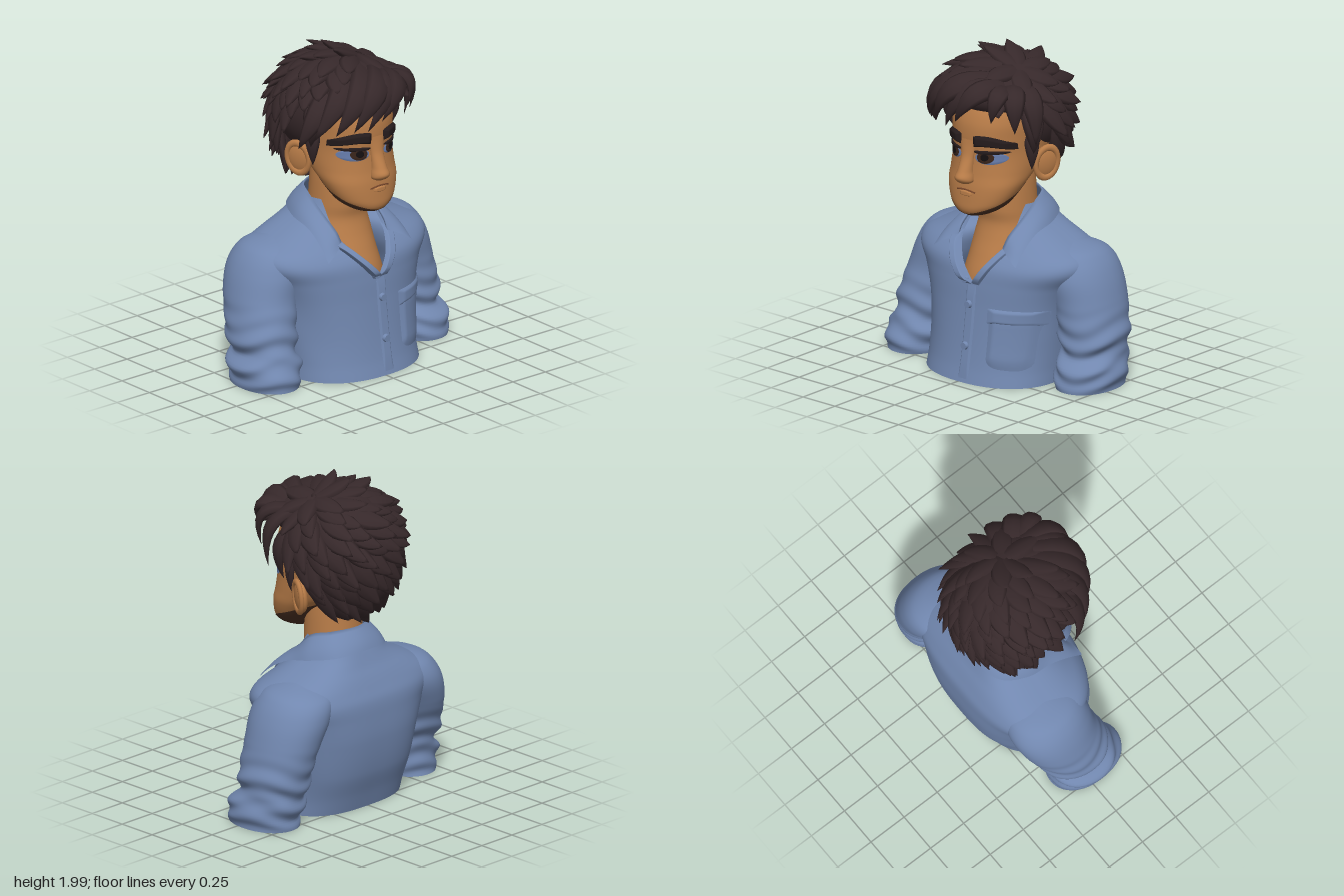
import * as THREE from 'three';
import { mergeVertices, mergeGeometries } from 'three/addons/utils/BufferGeometryUtils.js';

const { sin, cos, abs, sign, min, max, PI } = Math;
const V = (x, y, z) => new THREE.Vector3(x, y, z);
const clamp = (t) => min(1, max(0, t));
let seed = 7;
const rand = () => (seed = (seed * 16807) % 2147483647) / 2147483647;

const mat = (name, color) => {
  const m = new THREE.MeshStandardMaterial({ color, side: THREE.DoubleSide });
  m.name = name;
  return m;
};

// Surface from a rule f(u, v) -> [x, y, z], with smooth normals
function grid(f, nu, nv) {
  const pos = [], idx = [];
  for (let i = 0; i <= nu; i++) for (let j = 0; j <= nv; j++) pos.push(...f(i / nu, j / nv));
  for (let i = 0; i < nu; i++) for (let j = 0; j < nv; j++) {
    const a = i * (nv + 1) + j, b = a + nv + 1;
    idx.push(a, b, b + 1, a, b + 1, a + 1);
  }
  let g = new THREE.BufferGeometry();
  g.setAttribute('position', new THREE.Float32BufferAttribute(pos, 3));
  g.setIndex(idx);
  g = mergeVertices(g, 1e-5);
  g.computeVertexNormals();
  return g;
}

// Rings are [y, centre x, half width, front z, back z]; smooth interpolation in y
function ringAt(R, y) {
  let i = 0;
  while (i < R.length - 2 && y > R[i + 1][0]) i++;
  const a = R[i], b = R[i + 1], h = b[0] - a[0], t = clamp((y - a[0]) / h);
  const slope = (k, c) => {
    const p = R[max(k - 1, 0)], q = R[min(k + 1, R.length - 1)];
    return (q[c] - p[c]) / (q[0] - p[0]);
  };
  const t2 = t * t, t3 = t2 * t;
  return a.map((v, c) => c === 0 ? y : (2 * t3 - 3 * t2 + 1) * v + (t3 - 2 * t2 + t) * h * slope(i, c)
    + (3 * t2 - 2 * t3) * b[c] + (t3 - t2) * h * slope(i + 1, c));
}
// Rounded outline; n holds the squareness of the front and back halves
function ringPoint(R, n, th, y, grow = 0, k = 1) {
  const [, cx, rx, zf, zb] = ringAt(R, y), s = sin(th), c = cos(th), e = 2 / n[c < 0 ? 1 : 0];
  return [cx + k * (rx + grow) * sign(s) * abs(s) ** e, y,
    (zf + zb) / 2 + k * ((zf - zb) / 2 + grow) * sign(c) * abs(c) ** e];
}
const loft = (R, n, nv = 48, grow = () => 0) => {
  const y0 = R[0][0], y1 = R[R.length - 1][0];
  return grid((u, v) => {
    const th = PI + u * 2 * PI, y = y0 + (y1 - y0) * v;
    return ringPoint(R, n, th, y, grow(th, y));
  }, 72, nv);
};
const bottomCap = (R, n) => grid((u, v) => ringPoint(R, n, PI + u * 2 * PI, R[0][0], 0, v), 72, 2);
// Front z of a lofted body at (x, y)
const frontZ = (R, n) => (x, y) => {
  const [, cx, rx, zf, zb] = ringAt(R, y);
  return (zf + zb) / 2 + (zf - zb) / 2 * max(0, 1 - abs((x - cx) / rx) ** n[0]) ** (1 / n[0]);
};
// Raised patch lying on a front surface, sloping down at its rim
const pad = (map, surf, base, h) => grid((u, v) => {
  const [x, y] = map(u, v);
  return [x, y, surf(x, y) + base + h * min(1, 6 * min(u, 1 - u, v, 1 - v))];
}, 24, 14);
const lens = (cx, cy, rx, ry) => (u, v) => {
  const U = 2 * u - 1;
  return [cx + rx * U, cy + ry * (2 * v - 1) * Math.sqrt(1 - U * U * 0.98)];
};

const BODY = [2.3, 2.8], FACE = [2.2, 2.2], ROUND = [2.1, 2.1];
const SHIRT = [[0, 0, .44, .435, -.30], [.1, 0, .44, .41, -.33], [.25, 0, .455, .385, -.38], [.45, 0, .49, .36, -.41],
  [.6, 0, .54, .345, -.41], [.7, 0, .6, .325, -.40], [.77, 0, .58, .275, -.37], [.83, 0, .465, .215, -.34],
  [.88, 0, .355, .175, -.31], [.93, 0, .265, .15, -.285], [.98, 0, .22, .14, -.26], [1.04, 0, .19, .12, -.22]];
const HEAD = [[1.015, 0, .05, .34, .22], [1.03, 0, .1, .365, .17], [1.06, 0, .15, .378, .12], [1.1, 0, .192, .378, .08],
  [1.2, 0, .238, .37, -.03], [1.28, 0, .25, .357, -.15], [1.4, 0, .258, .348, -.28], [1.5, 0, .265, .355, -.32],
  [1.6, 0, .27, .345, -.33], [1.7, 0, .25, .30, -.32], [1.8, 0, .17, .20, -.22]];
const NECK = [[.5, 0, .25, .28, -.2], [.6, 0, .22, .27, -.2], [.72, 0, .2, .225, -.2], [.83, 0, .19, .18, -.2],
  [.92, 0, .175, .155, -.2], [1, 0, .168, .165, -.19], [1.15, 0, .16, .16, -.18], [1.25, 0, .15, .15, -.18]];
const NOSE = [[1.215, 0, .005, .375, .34], [1.225, 0, .035, .4, .33], [1.24, 0, .055, .425, .32], [1.265, 0, .055, .44, .31],
  [1.3, 0, .046, .42, .31], [1.38, 0, .045, .38, .315], [1.44, 0, .055, .364, .32], [1.5, 0, .07, .353, .33]];
// Sleeve rows: y, centre x, half width, half depth, centre z (left arm), centre z (right arm)
const SLEEVE = [[0, .615, .175, .235, -.05, .05], [.06, .615, .185, .235, -.05, .055], [.13, .61, .2, .235, -.07, .04],
  [.2, .597, .17, .215, -.1, .02], [.29, .59, .195, .225, -.11, -.01], [.4, .57, .19, .235, -.12, -.04],
  [.52, .535, .2, .245, -.13, -.08], [.66, .475, .215, .255, -.13, -.1], [.76, .43, .2, .225, -.13, -.1],
  [.81, .41, .15, .16, -.12, -.1], [.85, .38, .02, .03, -.12, -.1]];

export function createModel() {
  const root = new THREE.Group();
  root.name = 'bust';
  const skin = mat('skin', 0xb87c48), shirt = mat('shirt blue', 0x7187af), hair = mat('hair', 0x36282a),
    brow = mat('eyebrow', 0x241b1c), eyeBlue = mat('eye blue', 0x667cab), iris = mat('iris', 0x3a251b),
    pupil = mat('pupil', 0x140f10), lip = mat('lip line', 0x75452a), beard = mat('stubble', 0x4a3022);
  const add = (name, geo, m, parent = root) => {
    const mesh = new THREE.Mesh(geo, m);
    mesh.name = name;
    parent.add(mesh);
    return mesh;
  };
  const shirtZ = frontZ(SHIRT, BODY), faceZ = frontZ(HEAD, FACE);

  // Shirt body, open in a V at the neck
  const open = (y) => clamp((y - .6) / .22);
  const edgeX = (s, y) => s > 0 ? .03 + .145 * open(y) : .03 - .2 * open(y);
  const edgeAngle = (s, y) => {
    const q = edgeX(s, y) / ringAt(SHIRT, y)[2];
    return Math.asin(sign(q) * min(1, abs(q)) ** 1.15);
  };
  add('shirt body', grid((u, v) => {
    const y = 1.04 * v, a = edgeAngle(1, y), b = 2 * PI + edgeAngle(-1, y), th = a + (b - a) * u;
    const fold = .006 * sin(5 * th + 9 * y) * sin(PI * clamp(y / .75)) * (1 - abs(cos(th)));
    return ringPoint(SHIRT, BODY, th, y, fold);
  }, 96, 64), shirt);
  add('shirt underside', bottomCap(SHIRT, BODY), shirt);
  // Turned facing along each side of the V
  for (const s of [1, -1]) add('neckline facing', pad((u, v) => {
    const y = .585 + .265 * v;
    return [edgeX(s, y) + s * (.065 * u - .006), y];
  }, shirtZ, -.006, s > 0 ? .03 : .06), shirt);

  // Button strip, buttons and chest pocket
  add('button strip', pad((u, v) => [-.008 + .076 * u, .61 * v], shirtZ, -.003, .013), shirt);
  for (const [x, y] of [[-.01, .615], [.025, .47], [.025, .22]]) {
    const b = add('button', new THREE.CylinderGeometry(.021, .025, .02, 20), shirt);
    b.position.set(x, y, shirtZ(x, y) + .018);
    b.rotation.x = PI / 2;
  }
  const pocketX = (u, v) => .16 + u * (.255 + .05 * v);
  add('pocket', pad((u, v) => {
    const low = .10 + .05 * abs(2 * u - 1) ** 4 - .01 * u;
    return [pocketX(u, v), low + (.465 - low) * v];
  }, shirtZ, -.004, .02), shirt);
  add('pocket flap', pad((u, v) => [pocketX(u, .75 + .25 * v), .38 + .09 * v], shirtZ, .008, .014), shirt);

  // Collar: folded flap running from one point round the back to the other
  const onShirt = (x, y) => V(x, y, shirtZ(x, y) + .025);
  const around = (half) => new THREE.CatmullRomCurve3([...half,
    ...half.slice(0, -1).reverse().map((p) => V(-p.x, p.y, p.z))]);
  const low = around([onShirt(.32, .74), onShirt(.31, .82), V(.295, .89, .075), V(.285, .93, -.09), V(.2, .96, -.24), V(0, .975, -.288)]);
  const top = around([onShirt(.175, .82), V(.182, .88, .2), V(.19, .96, .09), V(.2, 1.06, -.03), V(.15, 1.09, -.14), V(0, 1.1, -.2)]);
  add('collar', grid((u, v) => {
    const outer = v <= .5, t = outer ? 2 * v : 2 - 2 * v;
    const p = low.getPoint(u).lerp(top.getPoint(u), t), k = outer ? 1 + .05 * sin(PI * t) : .94;
    return [p.x * k, p.y - (outer ? 0 : .006), -.05 + (p.z + .05) * k];
  }, 70, 16), shirt);

  // Sleeves with gathered folds toward the rolled ends
  for (const s of [1, -1]) {
    const R = SLEEVE.map(([y, cx, rx, rz, zl, zr]) => {
      const z = s > 0 ? zl : zr;
      return [y, s * cx, rx, z + rz, z - rz];
    });
    const folds = (th, y) => .011 * sin(48 * y + 2.2 * sin(th * 2 + s)) * clamp((.5 - y) / .25) * clamp(y / .05);
    const name = s > 0 ? 'left sleeve' : 'right sleeve';
    add(name, loft(R, ROUND, 64, folds), shirt);
    add(name + ' end', bottomCap(R, ROUND), shirt);
  }

  // Neck and head
  add('neck', loft(NECK, ROUND), skin);
  add('head', loft(HEAD, FACE, 64), skin);
  add('chin underside', bottomCap(HEAD, FACE), beard);
  add('jaw stubble', grid((u, v) => {
    const th = PI * (2 * u - 1), yTop = 1.03 + .31 * (abs(th) / PI) ** 1.6;
    return ringPoint(HEAD, FACE, th, 1.015 + (yTop - 1.015) * v, .003);
  }, 72, 14), beard);
  add('nose', loft(NOSE, [2, 2], 32), skin);
  add('lower lip', pad(lens(.005, 1.16, .05, .018), faceZ, -.003, .011), skin);
  add('mouth line', pad((u, v) => {
    const U = 2 * u - 1;
    return [.005 + .07 * U, 1.183 - .01 * U * U + .0045 * (2 * v - 1)];
  }, faceZ, .001, .005), lip);

  for (const s of [1, -1]) {
    // Eyes and sloping brows
    const x = s * .135;
    add('eye', pad(lens(x, 1.388, .08, .038), faceZ, 0, .006), eyeBlue);
    add('iris', pad(lens(x - s * .018, 1.393, .046, .036), faceZ, .007, .004), iris);
    add('pupil', pad(lens(x - s * .018, 1.395, .022, .021), faceZ, .0125, .002), pupil);
    add('upper lash', pad(lens(x, 1.424, .088, .012), faceZ, .004, .012), brow);
    add('eyebrow', pad((u, v) => {
      const t = s > 0 ? u : 1 - u;
      return [s * (.04 + .205 * t), 1.482 + .016 * sin(PI * t) - .03 * t * t + (.036 - .016 * t ** 3) * (2 * v - 1)];
    }, faceZ, -.004, .03), brow);

    // Ears, tops leaning outward
    const ear = new THREE.Group();
    ear.name = s > 0 ? 'left ear' : 'right ear';
    ear.position.set(s * .285, 1.32, -.025);
    ear.rotation.set(-.15, -s * .45, -s * .15);
    add('ear body', new THREE.SphereGeometry(1, 24, 16), skin, ear).scale.set(.035, .105, .08);
    const rim = add('ear rim', new THREE.TorusGeometry(.068, .016, 10, 32), skin, ear);
    rim.rotation.y = PI / 2;
    rim.scale.y = 1.4;
    rim.position.x = s * .018;
    root.add(ear);
  }

  // Hair masses under the locks
  for (const [c, r] of [[[-.02, 1.6, -.08], [.33, .32, .31]], [[0, 1.38, -.12], [.2, .25, .18]], [[0, 1.74, .12], [.27, .14, .23]]]) {
    const m = add('hair mass', new THREE.SphereGeometry(1, 40, 28), hair);
    m.position.set(...c);
    m.scale.set(...r);
  }

  // Pointed locks along bent paths
  const locks = [], heart = V(0, 1.58, -.02);
  const lock = (a, b, c, w) => {
    const path = new THREE.QuadraticBezierCurve3(a, b, c);
    locks.push(grid((u, v) => {
      const p = path.getPoint(v), t = path.getTangent(v), n = p.clone().sub(heart);
      n.addScaledVector(t, -n.dot(t)).normalize();
      const side = n.clone().cross(t), size = w * max(0, sin(PI * (.25 + .75 * v))) ** .9, q = u * 2 * PI;
      p.addScaledVector(side, cos(q) * size).addScaledVector(n, sin(q) * size * .45);
      return [p.x, p.y, p.z];
    }, 8, 9));
  };
  // Rows of locks swirling out from the crown, their tips flicking outward
  const pole = V(.42, .9, .1).normalize(), e1 = V(0, 0, 1).cross(pole).normalize(), e2 = pole.clone().cross(e1);
  const shell = (th, ph, k) => {
    const d = pole.clone().multiplyScalar(cos(th)).addScaledVector(e1, sin(th) * cos(ph)).addScaledVector(e2, sin(th) * sin(ph));
    return V(-.02 + d.x * .4 * k, 1.6 + d.y * (d.y > 0 ? .35 : .5) * k, d.z * .41 * k);
  };
  const bare = (p) => (p.z > .1 && p.y < 1.66) || (p.z > -.12 && p.y < 1.42) || (p.z > -.06 && p.y < 1.47) || p.y < 1.09;
  for (let th = .08, row = 0; th < 2.75; th += .21, row++) {
    const n = Math.round(sin(th) * 21) + 4;
    for (let i = 0; i < n; i++) {
      const ph = (i + (row % 2) / 2 + rand() * .4) / n * 2 * PI, k = 1.02 + .14 * rand(), len = .52 + .14 * rand();
      const mid = shell(th + .38, ph + .04, .96), tip = shell(th + len, ph + .2, k);
      if (!bare(mid) && !bare(tip)) lock(shell(th, ph, .86), mid, tip, .055 + .02 * rand());
    }
  }
  // Fringe swept to one side, and the sideburns
  for (const [a, b, c, w] of [
    [[.14, 1.82, .22], [.04, 1.88, .52], [-.12, 1.56, .41], .07], [[.1, 1.84, .2], [-.08, 1.9, .55], [-.21, 1.57, .39], .08],
    [[.05, 1.86, .15], [-.2, 1.87, .52], [-.3, 1.55, .33], .08], [[0, 1.84, .1], [-.3, 1.86, .44], [-.39, 1.52, .24], .08],
    [[-.05, 1.8, .1], [-.42, 1.77, .33], [-.43, 1.45, .14], .08], [[.16, 1.82, .22], [.14, 1.88, .52], [-.03, 1.61, .43], .07],
    [[.18, 1.8, .2], [.28, 1.87, .43], [.21, 1.64, .38], .06], [[.18, 1.8, .15], [.36, 1.85, .34], [.31, 1.57, .28], .07],
    [[.2, 1.8, .1], [.42, 1.8, .2], [.37, 1.48, .16], .07], [[-.25, 1.7, .12], [-.38, 1.65, .2], [-.3, 1.42, .1], .07],
    [[.25, 1.7, .1], [.37, 1.6, .15], [.3, 1.4, .1], .07], [[-.24, 1.55, .07], [-.3, 1.45, .1], [-.25, 1.28, .06], .05],
    [[.24, 1.55, .07], [.3, 1.45, .1], [.25, 1.28, .06], .05]]) lock(V(...a), V(...b), V(...c), w);
  add('hair locks', mergeGeometries(locks), hair);
  return root;
}
